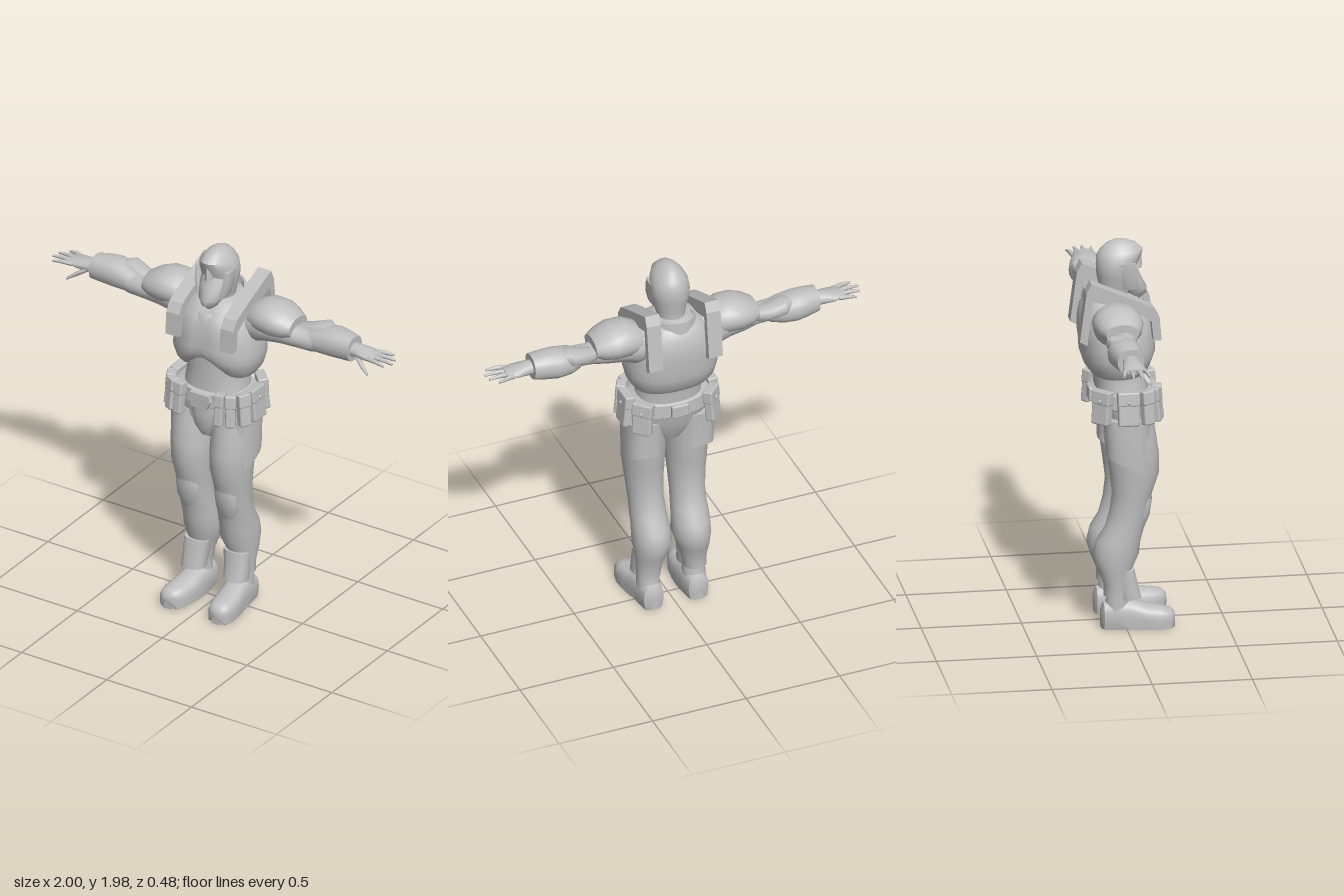
import * as THREE from 'three';
import { toCreasedNormals } from 'three/addons/utils/BufferGeometryUtils.js';
import { RoundedBoxGeometry } from 'three/addons/geometries/RoundedBoxGeometry.js';

const grey = new THREE.MeshStandardMaterial({ color: 0xc0c0c0, side: THREE.DoubleSide });
grey.name = 'plain grey';

// Rings [t, a, b, ra, rb] lofted along an axis: y -> (a,t,b), x -> (t,a,b), z -> (a,b,t).
function loft(rings, { axis = 'y', n = 20, power = 2, rule = null, caps = true, crease = 0.8 } = {}) {
  const pos = [], idx = [], flip = axis !== 'y';
  const put = (t, a, b) => {
    const v = axis === 'y' ? new THREE.Vector3(a, t, b) : axis === 'x' ? new THREE.Vector3(t, a, b) : new THREE.Vector3(a, b, t);
    if (rule) rule(v);
    pos.push(v.x, v.y, v.z);
  };
  const tri = (a, b, c) => idx.push(...(flip ? [a, c, b] : [a, b, c]));
  const bend = (v) => Math.sign(v) * Math.abs(v) ** (2 / power);
  for (const [t, a, b, ra, rb] of rings)
    for (let j = 0; j < n; j++) {
      const th = (j / n) * Math.PI * 2;
      put(t, a + ra * bend(Math.cos(th)), b + rb * bend(Math.sin(th)));
    }
  for (let i = 0; i < rings.length - 1; i++)
    for (let j = 0; j < n; j++) {
      const p = i * n + j, q = i * n + (j + 1) % n;
      tri(p, p + n, q);
      tri(q, p + n, q + n);
    }
  if (caps) {
    const last = rings.length - 1, base = rings.length * n;
    put(...rings[0].slice(0, 3));
    put(...rings[last].slice(0, 3));
    for (let j = 0; j < n; j++) {
      const k = (j + 1) % n;
      tri(base, j, k);
      tri(base + 1, last * n + k, last * n + j);
    }
  }
  const g = new THREE.BufferGeometry();
  g.setAttribute('position', new THREE.Float32BufferAttribute(pos, 3));
  g.setIndex(idx);
  return toCreasedNormals(g, crease);
}

// Outline of [x, y] points pushed to a depth along +z
function plate(points, depth) {
  const shape = new THREE.Shape(points.map(([x, y]) => new THREE.Vector2(x, y)));
  return new THREE.ExtrudeGeometry(shape, { depth, bevelEnabled: false });
}

// Reflected copy across x = 0 with the face order restored
function mirror(geo) {
  const g = geo.index ? geo.toNonIndexed() : geo.clone();
  g.scale(-1, 1, 1);
  for (const name of ['position', 'normal']) {
    const a = g.attributes[name].array;
    for (let i = 0; i < a.length; i += 9)
      for (let k = 0; k < 3; k++) [a[i + 3 + k], a[i + 6 + k]] = [a[i + 6 + k], a[i + 3 + k]];
  }
  return g;
}

export function createModel() {
  const model = new THREE.Group();
  model.name = 'armouredFigure';
  const add = (name, geo) => {
    const m = new THREE.Mesh(geo, grey);
    m.name = name;
    model.add(m);
  };
  const pair = (name, geo) => {
    add(name + 'Left', geo);
    add(name + 'Right', mirror(geo));
  };

  // Torso: chest armour with an arched front hem, pectoral swell and sternum groove
  add('chestArmour', loft([
    [1.31, 0, -0.025, 0.195, 0.135], [1.35, 0, -0.025, 0.222, 0.165], [1.41, 0, -0.025, 0.237, 0.185],
    [1.46, 0, -0.027, 0.236, 0.185], [1.52, 0, -0.032, 0.228, 0.188], [1.58, 0, -0.035, 0.215, 0.185],
    [1.64, 0, -0.04, 0.185, 0.17], [1.69, 0, -0.055, 0.14, 0.13], [1.71, 0, -0.06, 0.09, 0.1]], {
    n: 36, power: 2.4, rule: (v) => {
      if (v.z > 0) {
        const low = Math.max(0, (1.5 - v.y) / 0.19);
        v.y += 0.09 * low * Math.exp(-((v.x / 0.1) ** 2));
        v.z -= 0.015 * Math.exp(-((v.x / 0.025) ** 2)) * (v.y > 1.43 ? 1 : 0);
      }
    } }));
  add('abdomen', loft([[1.18, 0, 0.0, 0.175, 0.135], [1.26, 0, -0.005, 0.16, 0.135],
    [1.33, 0, -0.01, 0.15, 0.138], [1.44, 0, -0.02, 0.17, 0.15]], { n: 24, power: 2.3 }));
  add('pelvis', loft([[0.96, 0, 0.02, 0.07, 0.08], [1.01, 0, 0.02, 0.15, 0.105], [1.08, 0, 0.015, 0.2, 0.125],
    [1.2, 0, 0.0, 0.185, 0.135]], { n: 24, power: 2.3 }));

  // Shoulder straps running from the chest over to the back
  const strap = plate([[0.17, 1.51], [0.16, 1.63], [0.13, 1.68], [0.06, 1.715], [-0.18, 1.82], [-0.205, 1.77],
    [-0.238, 1.52], [-0.2, 1.5], [-0.175, 1.73], [0.05, 1.66], [0.12, 1.61], [0.13, 1.51]], 0.075);
  strap.rotateY(-Math.PI / 2).translate(0.197, 0, 0);
  pair('shoulderStrap', strap);

  // Collar rising toward the back
  add('collar', loft([[1.62, 0, -0.03, 0.14, 0.165], [1.69, 0, -0.03, 0.115, 0.16], [1.7, 0, -0.03, 0.1, 0.145],
    [1.62, 0, -0.03, 0.09, 0.12]], { n: 28, caps: false, rule: (v) => { v.y -= (v.z + 0.03) * 0.3; } }));

  // Head
  add('head', loft([[1.6, 0, -0.05, 0.07, 0.075], [1.7, 0, -0.04, 0.068, 0.075], [1.75, 0, -0.028, 0.08, 0.085],
    [1.8, 0, -0.033, 0.091, 0.093], [1.85, 0, -0.028, 0.099, 0.101], [1.9, 0, -0.015, 0.093, 0.112],
    [1.93, 0, -0.003, 0.077, 0.108], [1.96, 0, -0.005, 0.052, 0.078], [1.978, 0, -0.008, 0.025, 0.04],
    [1.983, 0, -0.01, 0.004, 0.006]], { n: 24 }));
  add('jawGuard', loft([[1.66, 0, 0.045, 0.022, 0.03], [1.7, 0, 0.065, 0.045, 0.058], [1.73, 0, 0.055, 0.066, 0.07],
    [1.79, 0, 0.03, 0.082, 0.065], [1.85, 0, 0.02, 0.07, 0.05]], { power: 1.7 }));
  add('nose', loft([[1.83, 0, 0.075, 0.022, 0.025], [1.86, 0, 0.075, 0.016, 0.026], [1.91, 0, 0.08, 0.01, 0.018]], { n: 8 }));
  pair('cheekGuard', loft([[1.74, 0.064, 0.035, 0.016, 0.045], [1.8, 0.08, 0.03, 0.016, 0.045],
    [1.88, 0.086, 0.01, 0.012, 0.05]], { n: 10, power: 3 }));

  // Arms, held straight out
  const X = { axis: 'x' };
  pair('upperArm', loft([[0.14, 1.6, -0.07, 0.09, 0.1], [0.22, 1.605, -0.065, 0.108, 0.11], [0.28, 1.605, -0.06, 0.088, 0.1],
    [0.36, 1.6, -0.06, 0.073, 0.085], [0.45, 1.585, -0.05, 0.053, 0.056], [0.54, 1.59, -0.05, 0.055, 0.055],
    [0.62, 1.6, -0.07, 0.05, 0.05]], X));
  pair('shoulderPad', loft([[0.16, 1.63, -0.065, 0.055, 0.08], [0.2, 1.64, -0.065, 0.075, 0.1], [0.26, 1.65, -0.065, 0.09, 0.122],
    [0.33, 1.648, -0.065, 0.09, 0.125], [0.39, 1.64, -0.063, 0.075, 0.108], [0.435, 1.635, -0.06, 0.05, 0.082]], X));
  pair('elbowGuard', loft([[0.43, 1.61, -0.09, 0.028, 0.04], [0.5, 1.62, -0.1, 0.036, 0.052],
    [0.57, 1.64, -0.11, 0.04, 0.055], [0.61, 1.64, -0.1, 0.03, 0.04]], { axis: 'x', n: 12, power: 3 }));
  pair('gauntlet', loft([[0.51, 1.59, -0.06, 0.053, 0.058], [0.57, 1.6, -0.078, 0.066, 0.079], [0.64, 1.606, -0.083, 0.074, 0.084],
    [0.7, 1.607, -0.078, 0.071, 0.076], [0.762, 1.606, -0.07, 0.064, 0.066]], { axis: 'x', power: 2.3 }));
  pair('hand', loft([[0.74, 1.603, -0.068, 0.036, 0.042], [0.79, 1.603, -0.068, 0.034, 0.046], [0.85, 1.602, -0.068, 0.025, 0.056],
    [0.9, 1.602, -0.068, 0.014, 0.05]], { axis: 'x', n: 14 }));
  [0.955, 0.99, 1.0, 0.975].forEach((tip, i) => {
    const z = -0.11 + i * 0.028, dz = (i - 1.5) * 0.014;
    pair('finger' + (i + 1), loft([[0.87, 1.602, z, 0.013, 0.014], [(0.87 + tip) / 2, 1.605, z + dz * 0.6, 0.011, 0.011],
      [tip, 1.599, z + dz, 0.006, 0.006]], { axis: 'x', n: 8 }));
  });
  pair('thumb', loft([[0.79, 1.59, -0.045, 0.016, 0.02], [0.84, 1.56, -0.015, 0.014, 0.015],
    [0.885, 1.53, 0.003, 0.008, 0.008]], { axis: 'x', n: 8 }));

  // Legs
  pair('leg', loft([[0.17, 0.124, -0.047, 0.06, 0.062], [0.23, 0.12, -0.045, 0.066, 0.064], [0.3, 0.113, -0.053, 0.081, 0.085],
    [0.38, 0.105, -0.045, 0.099, 0.115], [0.45, 0.107, -0.033, 0.095, 0.11], [0.52, 0.109, -0.002, 0.091, 0.098],
    [0.6, 0.111, 0.02, 0.089, 0.098], [0.7, 0.113, 0.034, 0.096, 0.1], [0.8, 0.114, 0.045, 0.104, 0.123],
    [0.9, 0.115, 0.038, 0.109, 0.13], [1.0, 0.118, 0.028, 0.109, 0.125], [1.1, 0.115, 0.018, 0.11, 0.12]], { n: 24 }));
  pair('thighPanel', loft([[0.86, 0.135, 0.008, 0.096, 0.11], [0.95, 0.138, 0.008, 0.096, 0.11],
    [1.1, 0.135, 0.008, 0.098, 0.12]], { power: 2.6, rule: (v) => { if (v.y < 0.9) v.y -= v.z * 0.45; } }));
  pair('kneePad', loft([[0.52, 0.113, 0.062, 0.045, 0.035], [0.58, 0.113, 0.085, 0.062, 0.036],
    [0.66, 0.113, 0.095, 0.066, 0.037], [0.72, 0.113, 0.096, 0.045, 0.035]], { n: 14 }));
  pair('shinGuard', loft([[0.155, 0.124, 0.022, 0.062, 0.056], [0.21, 0.122, 0.01, 0.064, 0.054],
    [0.305, 0.115, 0.0, 0.07, 0.044]], { n: 16, power: 2.6 }));

  // Boots with flat soles
  pair('ankle', loft([[0.05, 0.122, -0.045, 0.06, 0.062], [0.2, 0.122, -0.035, 0.056, 0.058]], { n: 16 }));
  pair('boot', loft([[-0.122, 0.12, 0.055, 0.03, 0.045], [-0.11, 0.12, 0.06, 0.052, 0.07], [-0.04, 0.12, 0.065, 0.064, 0.085],
    [0.03, 0.122, 0.058, 0.066, 0.083], [0.1, 0.13, 0.048, 0.071, 0.067], [0.17, 0.138, 0.043, 0.068, 0.062],
    [0.22, 0.142, 0.045, 0.053, 0.05], [0.24, 0.143, 0.045, 0.03, 0.03]], {
    axis: 'z', power: 2.6, rule: (v) => { if (v.y < 0.025) v.y = 0; } }));

  // Belt, buckle and groin plate
  add('belt', loft([[1.15, 0, 0.0, 0.206, 0.148], [1.155, 0, 0.0, 0.212, 0.153], [1.225, 0, 0.0, 0.207, 0.15],
    [1.23, 0, 0.0, 0.2, 0.143]], { n: 28, power: 2.3 }));
  add('buckle', plate([[-0.04, 1.145], [0.04, 1.145], [0.065, 1.19], [0.055, 1.225], [-0.055, 1.225], [-0.065, 1.19]], 0.03)
    .translate(0, 0, 0.14));
  add('groinPlate', loft([[0.975, 0, 0.085, 0.028, 0.04], [1.03, 0, 0.1, 0.055, 0.05], [1.1, 0, 0.1, 0.078, 0.052],
    [1.16, 0, 0.1, 0.085, 0.05]], { n: 14, power: 2.6 }));
  add('backBox', new RoundedBoxGeometry(0.09, 0.07, 0.03, 2, 0.008).translate(0, 1.19, -0.155));

  // Belt pouches: [x, z, width, turn, buttoned], each with a flap
  [[0.118, 0.162, 0.046, 0.12, 0], [0.172, 0.145, 0.05, 0.45, 0], [0.216, 0.095, 0.062, 1.1, 0],
    [0.228, 0.0, 0.105, 1.57, 1], [0.185, -0.125, 0.1, 2.35, 1]].forEach(([x, z, w, turn, buttoned], i) => {
    const place = (g) => g.rotateX(-0.1).rotateY(turn).translate(x, 1.17, z);
    pair('pouch' + (i + 1), place(new RoundedBoxGeometry(w, 0.172, 0.046, 2, 0.01)));
    pair('pouchFlap' + (i + 1), place(new RoundedBoxGeometry(w + 0.006, 0.07, 0.052, 2, 0.008).translate(0, 0.052, 0)));
    if (buttoned) pair('pouchButton' + (i + 1), place(new THREE.SphereGeometry(0.009, 10, 8).translate(0, 0.035, 0.026)));
  });

  return model;
}
